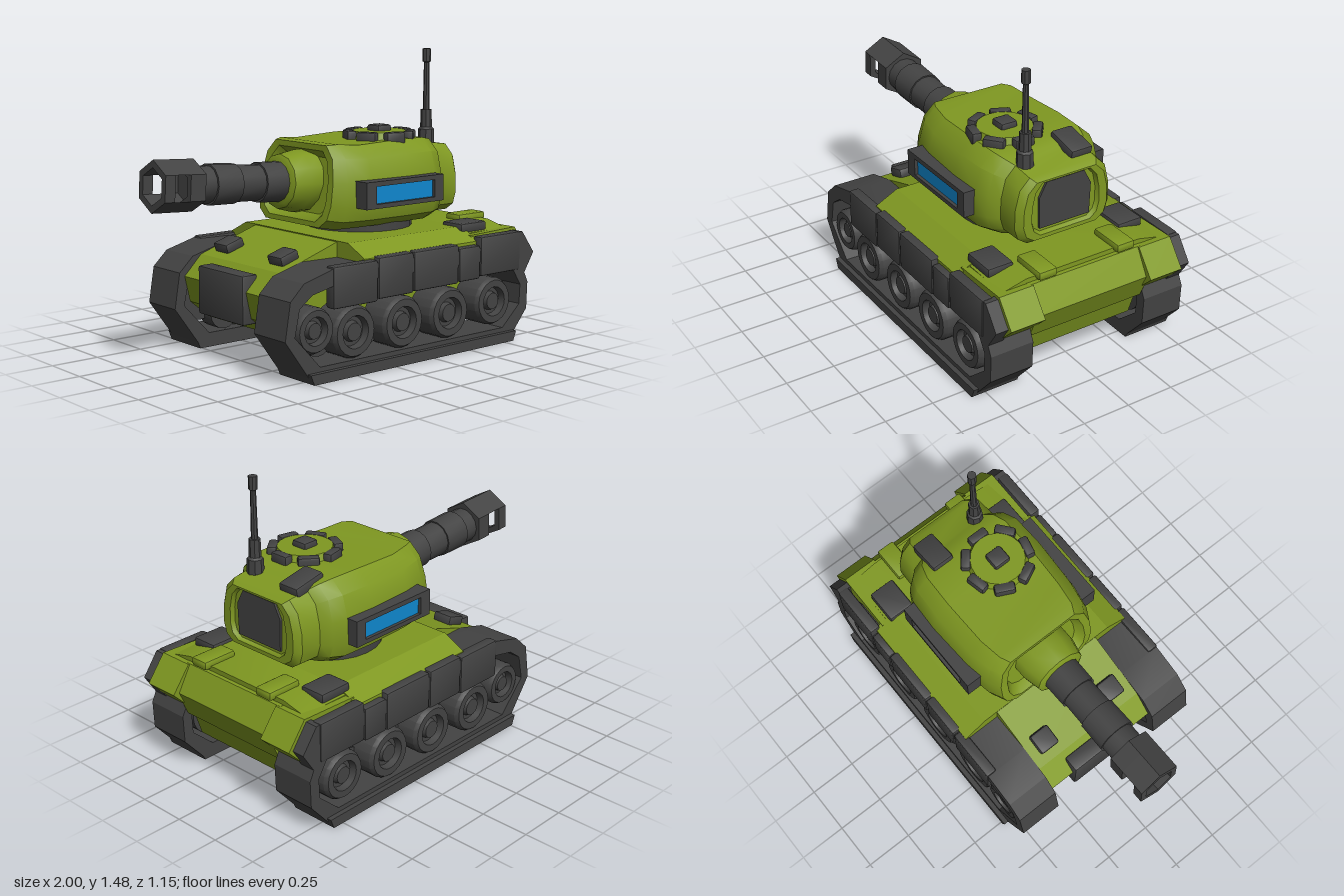
import * as THREE from 'three';
import { toCreasedNormals } from 'three/addons/utils/BufferGeometryUtils.js';
import { RoundedBoxGeometry } from 'three/addons/geometries/RoundedBoxGeometry.js';

const paint = (name, color) => Object.assign(new THREE.MeshStandardMaterial({ color }), { name });

export function createModel() {
  const green = paint('olive green', 0x7f9821);
  const dark = paint('dark grey', 0x434343);
  const blue = paint('window blue', 0x0f88cf);
  const tank = new THREE.Group();
  tank.name = 'tank';

  const add = (name, geo, mat, x = 0, y = 0, z = 0, crease = 0.6) => {
    const mesh = new THREE.Mesh(toCreasedNormals(geo, crease), mat);
    mesh.name = name;
    mesh.position.set(x, y, z);
    tank.add(mesh);
    return mesh;
  };
  const block = (name, mat, w, h, d, x, y, z, r = 0.012) =>
    add(name, new RoundedBoxGeometry(w, h, d, 1, r), mat, x, y, z);
  const outline = (pts) => new THREE.Shape(pts.map(([x, y]) => new THREE.Vector2(x, y)));
  // side profile in x/y, extruded from z0 to z1 on side s
  const slab = (name, mat, pts, z0, z1, s = 1, hole = null) => {
    const shape = outline(pts);
    if (hole) shape.holes.push(outline(hole));
    const geo = new THREE.ExtrudeGeometry(shape, { depth: z1 - z0, bevelEnabled: false });
    return add(name, geo, mat, 0, 0, s > 0 ? z0 : -z1, 0.3);
  };
  // symmetric cross-section in z/y, extruded from x0 to x1
  const beam = (name, mat, half, x0, x1) => {
    const pts = [...half, ...half.map(([z, y]) => [-z, y]).reverse()];
    const geo = new THREE.ExtrudeGeometry(outline(pts), { depth: x1 - x0, bevelEnabled: false });
    geo.rotateY(Math.PI / 2);
    return add(name, geo, mat, x0, 0, 0, 0.3);
  };
  const lathe = (pts, seg, start = 0, length = Math.PI * 2) =>
    new THREE.LatheGeometry(pts.map(([r, y]) => new THREE.Vector2(r, y)), seg, start, length);

  // hull
  slab('hull', green, [[-0.46, 0.16], [0.82, 0.16], [0.86, 0.28], [0.9, 0.3], [0.965, 0.44], [0.89, 0.57],
    [0.5, 0.59], [-0.16, 0.59], [-0.5, 0.48], [-0.6, 0.38], [-0.57, 0.25]], -0.32, 0.32);
  beam('deck', green, [[0.52, 0.46], [0.52, 0.535], [0.4, 0.595]], -0.16, 0.6);
  beam('rearDeck', green, [[0.45, 0.46], [0.45, 0.565], [0.32, 0.595]], 0.6, 0.87);
  block('nosePlate', dark, 0.09, 0.24, 0.36, -0.575, 0.34, 0);

  // tracks, wheels and skirts
  const track = [[-0.5, 0], [0.8, 0], [0.93, 0.15], [0.935, 0.29], [0.88, 0.4], [0.76, 0.5], [-0.38, 0.52],
    [-0.55, 0.475], [-0.63, 0.4], [-0.66, 0.22]];
  const inner = track.map(([x, y]) => [0.14 + (x - 0.14) * 0.93, 0.26 + (y - 0.26) * 0.72]);
  const wheels = [[-0.47, 0.24, 0.11], [-0.23, 0.2, 0.128], [0.08, 0.2, 0.128], [0.39, 0.2, 0.128], [0.7, 0.215, 0.122]];
  const skirts = [[-0.38, -0.105, 0.33, 0.53], [-0.1, 0.125, 0.34, 0.54], [0.13, 0.43, 0.345, 0.54],
    [0.435, 0.58, 0.35, 0.52], [0.585, 0.87, 0.36, 0.56]];
  for (const s of [1, -1]) {
    slab('track', dark, track, 0.32, 0.55, s, inner);
    slab('trackSole', dark, [[-0.51, 0], [0.81, 0], [0.83, 0.05], [-0.53, 0.05]], 0.32, 0.575, s);
    for (const [x, y, r] of wheels) {
      const geo = lathe([[0, -0.08], [r, -0.08], [r, 0.06], [r * 0.9, 0.08], [r * 0.62, 0.08], [r * 0.56, 0.045],
        [r * 0.4, 0.045], [r * 0.34, 0.07], [0, 0.07]], 20);
      add('roadWheel', geo, dark, x, y, s * 0.46).rotation.x = s * Math.PI / 2;
    }
    for (const x of [-0.36, -0.07, 0.235, 0.55]) {
      const geo = new THREE.CylinderGeometry(0.085, 0.085, 0.1, 16).rotateX(Math.PI / 2);
      add('innerWheel', geo, dark, x, 0.165, s * 0.37);
    }
    for (const [x0, x1, y0, y1] of skirts)
      block('skirtPlate', dark, x1 - x0, y1 - y0, 0.06, (x0 + x1) / 2, (y0 + y1) / 2, s * 0.527);
    slab('skirtEnd', dark, [[0.86, 0.36], [0.91, 0.34], [0.975, 0.44], [0.89, 0.555], [0.86, 0.555]], 0.47, 0.55, s);
    slab('rearFender', green, [[0.58, 0.36], [0.9, 0.34], [1, 0.44], [0.9, 0.57], [0.58, 0.56]], 0.3, 0.485, s);
    block('rearStowage', dark, 0.18, 0.05, 0.14, 0.65, 0.588, s * 0.37);
    block('frontStowage', dark, 0.11, 0.05, 0.11, -0.405, 0.533, s * 0.215).rotation.z = 0.3;
    block('engineVent', green, 0.19, 0.045, 0.1, 0.81, 0.602, s * 0.22);
  }

  // turret: cross-sections along x as [x, half width, bottom, top, forward lean of the face]
  add('turretRing', new THREE.CylinderGeometry(0.27, 0.27, 0.08, 24), dark, 0.26, 0.61, 0);
  const half = [[0.74, 0], [0.93, 0.1], [1, 0.27], [0.99, 0.55], [0.9, 0.82], [0.7, 0.97]];
  const section = [...half, ...half.map(([z, y]) => [-z, y]).reverse()];
  const rings = [[-0.13, 0.21, 0.7, 0.98, 0.05], [-0.18, 0.24, 0.67, 1.02, 0.06], [-0.18, 0.28, 0.645, 1.05, 0.06],
    [-0.1, 0.315, 0.63, 1.055, 0.03], [0.05, 0.34, 0.63, 1.045, 0], [0.3, 0.352, 0.63, 1.055, 0],
    [0.47, 0.345, 0.63, 1.055, 0], [0.54, 0.315, 0.64, 1.04, 0], [0.58, 0.27, 0.65, 1.015, 0],
    [0.69, 0.265, 0.65, 1.0, 0], [0.72, 0.235, 0.67, 0.98, 0], [0.72, 0.19, 0.69, 0.97, 0], [0.7, 0.18, 0.7, 0.965, 0]];
  const pos = [], idx = [], n = section.length;
  for (const [x, w, y0, y1, lean] of rings)
    for (const [z, y] of section) pos.push(x + lean * y, y0 + (y1 - y0) * y, w * z);
  for (let i = 0; i < rings.length - 1; i++)
    for (let j = 0; j < n; j++) {
      const a = i * n + j, b = i * n + (j + 1) % n;
      idx.push(a, a + n, b, b, a + n, b + n);
    }
  const last = (rings.length - 1) * n;
  for (let j = 1; j < n - 1; j++) idx.push(0, j, j + 1, last, last + j + 1, last + j);
  const shell = new THREE.BufferGeometry();
  shell.setAttribute('position', new THREE.Float32BufferAttribute(pos, 3));
  shell.setIndex(idx);
  add('turret', shell, green);
  beam('rearHatch', dark, [[0.14, 0.72], [0.145, 0.88], [0.105, 0.955]], 0.69, 0.712);

  // side windows
  const rect = (x0, x1, y0, y1) => [[x0, y0], [x1, y0], [x1, y1], [x0, y1]];
  for (const s of [1, -1]) {
    slab('windowFrame', dark, rect(-0.04, 0.47, 0.74, 0.872), 0.3, 0.4, s, rect(0.025, 0.41, 0.762, 0.848));
    slab('windowBack', dark, rect(0, 0.44, 0.75, 0.86), 0.3, 0.375, s);
    slab('windowGlass', blue, rect(0.025, 0.41, 0.762, 0.848), 0.375, 0.383, s);
  }

  // gun, axis running forward along -x with a slight upward tilt
  const gun = new THREE.Group();
  gun.name = 'gun';
  gun.position.set(-0.14, 0.85, 0);
  gun.rotation.z = Math.PI / 2 - 0.055;
  tank.add(gun);
  const gunPart = (name, geo, mat, crease = 0.6) => gun.add(add(name, geo, mat, 0, 0, 0, crease));
  gunPart('mantlet', lathe([[0, -0.06], [0.155, -0.06], [0.155, 0.03], [0.135, 0.12], [0.115, 0.13], [0, 0.13]], 12), green);
  gunPart('barrel', lathe([[0, 0.1], [0.1, 0.1], [0.098, 0.26], [0.088, 0.26], [0.09, 0.4], [0.097, 0.4],
    [0.1, 0.55], [0.09, 0.55], [0.09, 0.66], [0, 0.66]], 14), dark);
  const tube = (y0, y1) => [[0.124, y0], [0.124, y1], [0.088, y1], [0.088, y0], [0.124, y0]];
  const sixth = Math.PI / 3;
  gunPart('muzzleRear', lathe(tube(0.63, 0.715), 6, sixth / 2), dark, 0.1);
  gunPart('muzzleFront', lathe(tube(0.8, 0.855), 6, sixth / 2), dark, 0.1);
  for (const k of [0.5, 3.5]) gunPart('muzzleBridge', lathe(tube(0.71, 0.805), 2, k * sixth, 2 * sixth), dark, 0.1);

  // commander hatch with a ring of periscopes
  const cx = 0.325, cz = 0.08;
  add('hatch', new THREE.CylinderGeometry(0.135, 0.16, 0.06, 20), green, cx, 1.045, cz);
  block('hatchKnob', dark, 0.09, 0.05, 0.09, cx, 1.08, cz);
  for (let i = 0; i < 7; i++) {
    const a = i * Math.PI * 2 / 7;
    block('periscope', dark, 0.05, 0.07, 0.105, cx + 0.155 * Math.cos(a), 1.045, cz + 0.155 * Math.sin(a)).rotation.y = -a;
  }

  // roof box and antenna
  block('roofBox', dark, 0.18, 0.07, 0.12, 0.56, 1.015, -0.135).rotation.z = -0.2;
  add('antenna', lathe([[0, 0.98], [0.043, 0.98], [0.04, 1.07], [0.03, 1.08], [0.028, 1.17], [0.017, 1.17],
    [0.014, 1.41], [0.022, 1.415], [0.022, 1.48], [0, 1.48]], 8), dark, 0.59, 0, 0.145);

  return tank;
}
